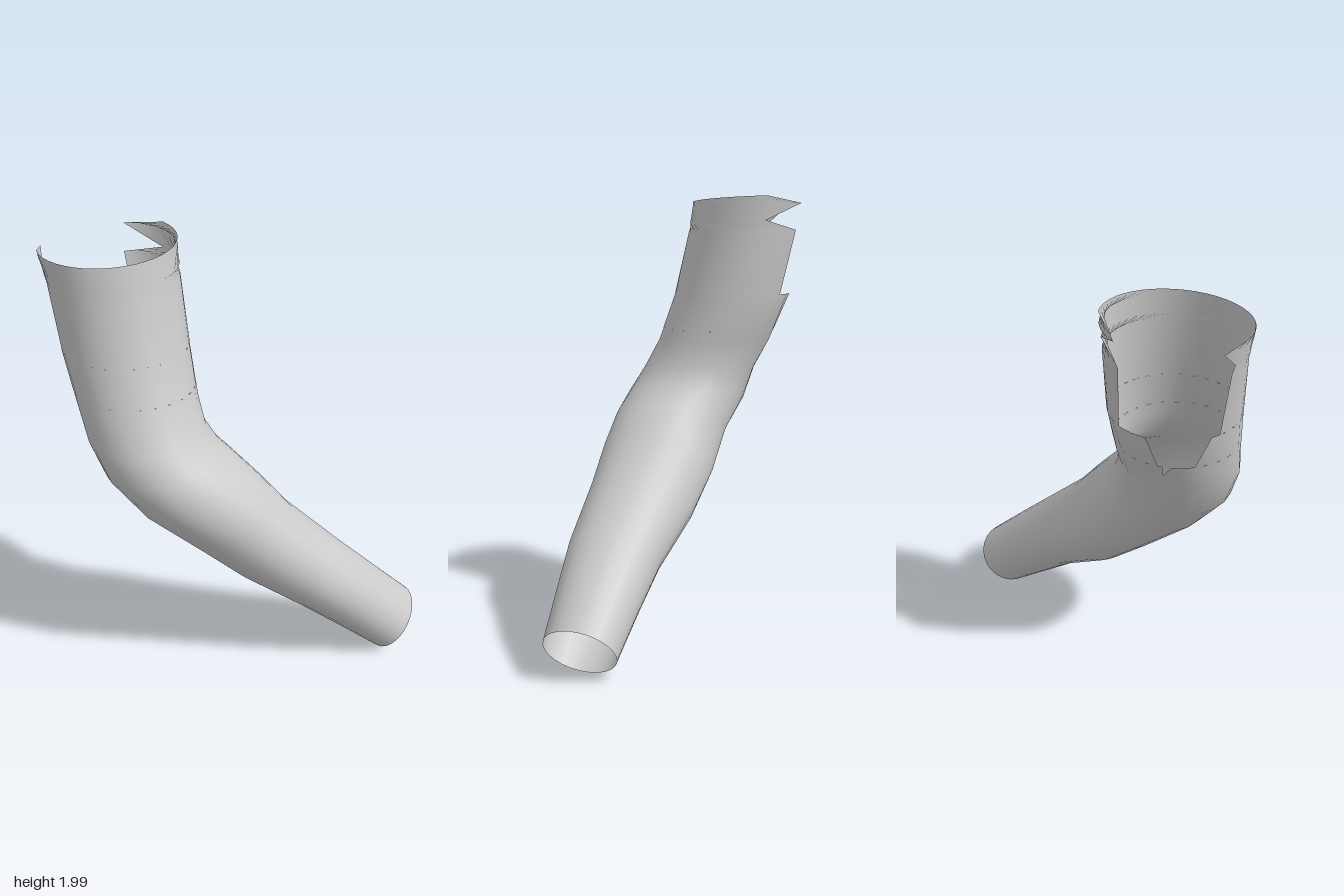
import * as THREE from 'three';

// Cross-sections from shoulder to cuff: centre, half-axis across, half-axis to the front
const RINGS = [
  [[-0.41, 1.985, -0.36], [0.30, 0.01, 0], [0, -0.01, 0.28]],
  [[-0.40, 1.80, -0.32], [0.28, 0, 0], [0, 0, 0.265]],
  [[-0.395, 1.55, -0.265], [0.275, 0, 0], [0, 0, 0.27]],
  [[-0.395, 1.33, -0.18], [0.262, 0, 0], [0, 0, 0.26]],
  [[-0.395, 1.20, -0.11], [0.255, 0.02, 0], [0, 0, 0.26]],
  [[-0.355, 1.08, -0.05], [0.255, 0.05, 0], [-0.02, 0.02, 0.265]],
  [[-0.265, 0.955, 0.03], [0.22, 0.105, 0], [-0.03, 0.03, 0.255]],
  [[-0.115, 0.80, 0.095], [0.165, 0.14, 0], [-0.05, 0.04, 0.25]],
  [[0.03, 0.64, 0.17], [0.13, 0.15, 0], [-0.05, 0.04, 0.23]],
  [[0.25, 0.445, 0.29], [0.12, 0.125, 0], [-0.05, 0.03, 0.20]],
  [[0.42, 0.29, 0.36], [0.11, 0.12, 0], [-0.05, 0.03, 0.175]],
  [[0.60, 0.125, 0.43], [0.10, 0.115, 0], [-0.05, 0.02, 0.155]],
];
const LAST = RINGS.length - 1;
const COLUMNS = 24;

// Torn bands at the back of the upper sleeve:
// [level, start angle, end angle] at the top, then the same at the bottom
const TORN_BANDS = [
  [[0, -8, 195], [0.17, -50, 222]],
  [[0.17, -50, 222], [0.56, -12, 208]],
  [[0.56, -12, 208], [0.78, -53, 210]],
  [[0.78, -53, 210], [2, -50, 218]],
  [[2, -78, 226], [2.75, -86, 242]],
  [[2.75, -90, 262], [3, -90, 270]],
];

// Point on the sleeve at a level (ring index) and an angle in degrees
function surfacePoint(level, degrees) {
  const s = THREE.MathUtils.clamp(level, 0, LAST);
  const i = Math.min(Math.floor(s), LAST - 1);
  const angle = THREE.MathUtils.degToRad(degrees);
  const [centre, across, front] = [0, 1, 2].map((k) =>
    new THREE.Vector3(...RINGS[i][k]).lerp(new THREE.Vector3(...RINGS[i + 1][k]), s - i));
  return centre.addScaledVector(across, Math.cos(angle)).addScaledVector(front, Math.sin(angle));
}

// Smooth outward normal from the slopes around and along the sleeve
function surfaceNormal(level, degrees) {
  const around = surfacePoint(level, degrees + 8).sub(surfacePoint(level, degrees - 8));
  const along = surfacePoint(level + 0.6, degrees).sub(surfacePoint(level - 0.6, degrees));
  return around.cross(along).normalize();
}

function sleeveGeometry(bands) {
  const positions = [], normals = [], indices = [];
  for (const band of bands) {
    const base = positions.length / 3;
    for (const [level, start, end] of band) {
      for (let j = 0; j <= COLUMNS; j++) {
        const degrees = start + ((end - start) * j) / COLUMNS;
        positions.push(...surfacePoint(level, degrees).toArray());
        normals.push(...surfaceNormal(level, degrees).toArray());
      }
    }
    for (let j = 0; j < COLUMNS; j++) {
      const a = base + j, b = a + COLUMNS + 1;
      indices.push(a, a + 1, b, a + 1, b + 1, b);
    }
  }
  const geometry = new THREE.BufferGeometry();
  geometry.setAttribute('position', new THREE.Float32BufferAttribute(positions, 3));
  geometry.setAttribute('normal', new THREE.Float32BufferAttribute(normals, 3));
  geometry.setIndex(indices);
  return geometry;
}

export function createModel() {
  const group = new THREE.Group();
  group.name = 'tornSleeve';
  const material = new THREE.MeshStandardMaterial({ color: 0xcccccc, side: THREE.DoubleSide });

  // Upper sleeve, open at the back
  const upper = new THREE.Mesh(sleeveGeometry(TORN_BANDS), material);
  upper.name = 'upperSleeve';

  // Closed tube round the elbow and down to the open cuff
  const closedBands = [];
  for (let i = 3; i < LAST; i++) closedBands.push([[i, -90, 270], [i + 1, -90, 270]]);
  const lower = new THREE.Mesh(sleeveGeometry(closedBands), material);
  lower.name = 'lowerSleeve';

  group.add(upper, lower);
  return group;
}
